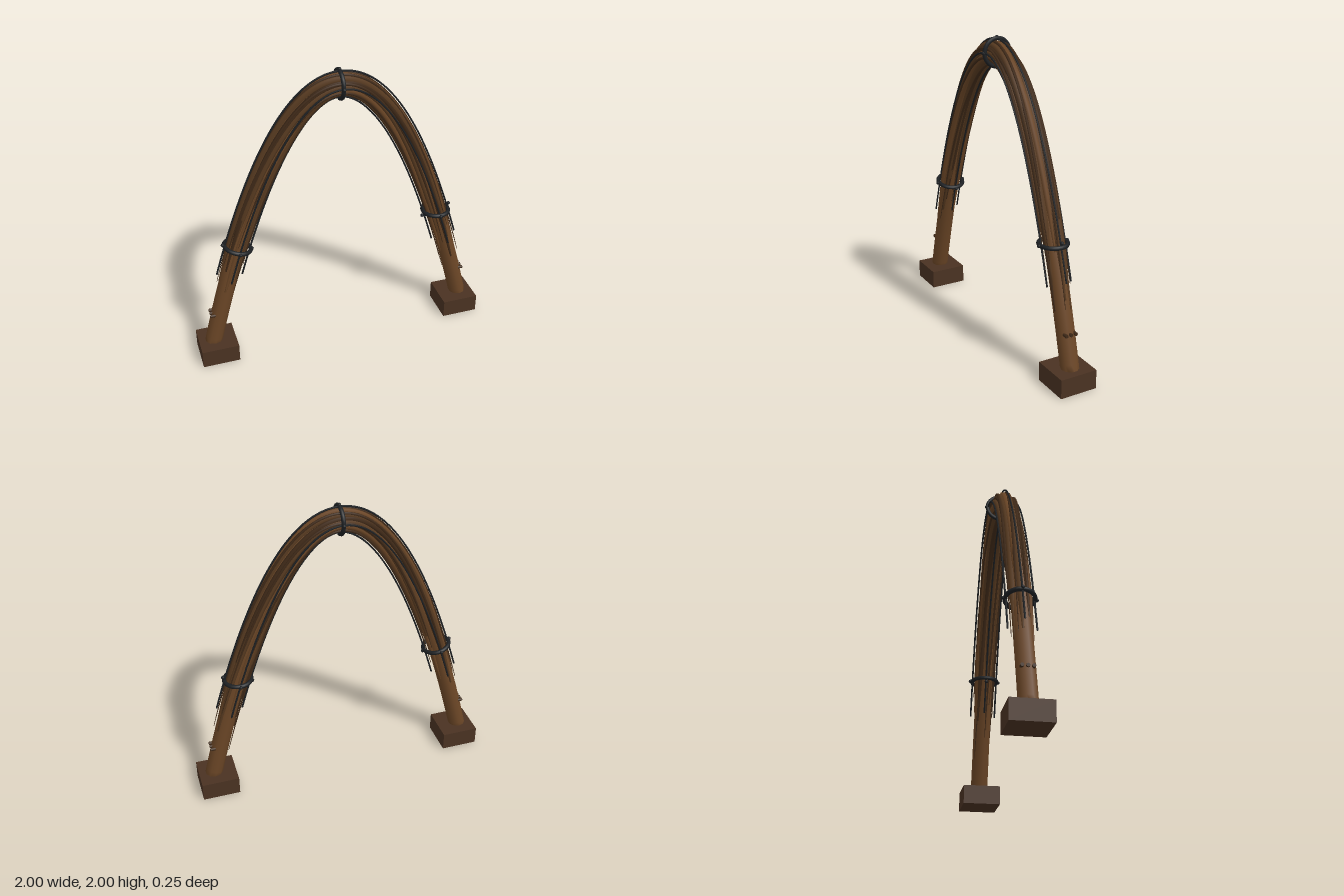
import * as THREE from 'three';

const mat = (name, color) => Object.assign(new THREE.MeshStandardMaterial({ color }), { name });

// Parabolic centre line: height over x, with an in-plane outward normal and z as the binormal
const TOP = 1.893, K = 2.2;
const centre = (x) => new THREE.Vector3(x, TOP - K * x * x, 0);
const normal = (x) => new THREE.Vector3(2 * K * x, 1, 0).normalize();
const around = (x, angle, r) => centre(x)
  .addScaledVector(normal(x), Math.cos(angle) * r)
  .add(new THREE.Vector3(0, 0, Math.sin(angle) * r));

// Round rod that follows the arch at an offset, with optional twist and tapered ends
function rod(x0, x1, offset, angleAt, radiusAt, sides, segs = 88) {
  const pos = [], idx = [];
  const ring = sides;
  for (let i = 0; i <= segs; i++) {
    const t = i / segs, x = x0 + (x1 - x0) * t;
    const c = around(x, angleAt(x), offset), n = normal(x), r = radiusAt(t);
    for (let j = 0; j < sides; j++) {
      const a = (j + 0.5) / sides * Math.PI * 2;
      const p = c.clone().addScaledVector(n, Math.cos(a) * r);
      pos.push(p.x, p.y, p.z + Math.sin(a) * r);
    }
  }
  for (let i = 0; i < segs; i++) for (let j = 0; j < sides; j++) {
    const a = i * ring + j, b = i * ring + (j + 1) % sides;
    idx.push(a, b, a + ring, b, b + ring, a + ring);
  }
  // End caps
  const last = segs * ring;
  for (let j = 1; j < sides - 1; j++) {
    idx.push(0, j + 1, j, last, last + j, last + j + 1);
  }
  const g = new THREE.BufferGeometry();
  g.setAttribute('position', new THREE.Float32BufferAttribute(pos, 3));
  g.setIndex(idx);
  g.computeVertexNormals();
  return g;
}

export function createModel() {
  const model = new THREE.Group();
  model.name = 'woodenArch';
  const wood = mat('warm wood', 0x6b4626);
  const midWood = mat('brown wood', 0x573a20);
  const darkWood = mat('dark wood', 0x402a18);
  const block = mat('footing wood', 0x4a3222);
  const iron = mat('black iron', 0x1d2023);

  const add = (name, geo, material, parent = model) => {
    const m = new THREE.Mesh(geo, material);
    m.name = name;
    parent.add(m);
    return m;
  };

  // Core beam running into both footings
  add('coreBeam', rod(-0.91, 0.91, 0, () => 0, () => 0.058, 10), wood);

  // Slowly twisting strands of different lengths wrapped on the core
  const strands = new THREE.Group();
  strands.name = 'twistedStrands';
  model.add(strands);
  const woods = [wood, midWood, darkWood, midWood];
  const COUNT = 12;
  for (let i = 0; i < COUNT; i++) {
    const phase = i / COUNT * Math.PI * 2;
    const x0 = -0.70 - 0.1 * ((i * 5) % 7) / 7;
    const x1 = 0.70 + 0.12 * ((i * 3) % 7) / 7;
    const twist = 0.8 + 0.35 * Math.sin(i * 2.3);
    const r = 0.02 + 0.003 * Math.sin(i * 1.7);
    add('strand', rod(x0, x1, 0.053,
      (x) => phase + twist * x + 0.12 * Math.sin(x * 7 + i),
      (t) => r * Math.min(1, 0.35 + 9 * Math.min(t, 1 - t)), 6), woods[i % 4], strands);
  }
  // Thin dark fibres lying in the grooves
  for (let i = 0; i < 7; i++) {
    const phase = i / 7 * Math.PI * 2 + 0.3;
    add('fibre', rod(-0.78 + 0.05 * (i % 3), 0.72 + 0.04 * (i % 4), 0.07,
      (x) => phase + 1.1 * x, (t) => 0.009 * Math.min(1, 0.2 + 6 * Math.min(t, 1 - t)), 5),
    darkWood, strands);
  }

  // Four iron wires: outer, front, inner and back
  [0.757, 0.76, 0.752, 0.76].forEach((end, i) => {
    const a = i * Math.PI / 2;
    add('wire', rod(-end, end, 0.085, () => a, () => 0.006, 6), iron);
  });

  // Iron bands with four rivets each
  [[-0.69, 0.27], [0, Math.PI / 2], [0.685, 0]].forEach(([x, lean]) => {
    const band = new THREE.Group();
    band.name = 'ironBand';
    model.add(band);
    const ring = add('ring', new THREE.TorusGeometry(0.088, 0.014, 8, 28), iron, band);
    ring.position.copy(centre(x));
    // The ring lies flat, then leans about z
    ring.rotation.set(Math.PI / 2, 0, 0);
    ring.rotation.order = 'ZYX';
    ring.rotation.z = -lean;
    for (let k = 0; k < 4; k++) {
      const rivet = add('rivet', new THREE.SphereGeometry(0.012, 8, 6), iron, band);
      rivet.position.copy(around(x, k * Math.PI / 2, x ? 0.1 : 0.096));
    }
  });

  // Footing blocks and pegs on the outside of each leg
  for (const s of [-1, 1]) {
    add('footing', new THREE.BoxGeometry(0.25, 0.125, 0.25), block).position.set(s * 0.875, 0.0625, 0);
    for (const z of [-0.033, 0, 0.033]) {
      const peg = add('peg', new THREE.CylinderGeometry(0.011, 0.011, 0.05, 8), darkWood);
      peg.rotation.z = Math.PI / 2;
      peg.position.set(s * 0.885, 0.347, z);
    }
  }
  return model;
}
